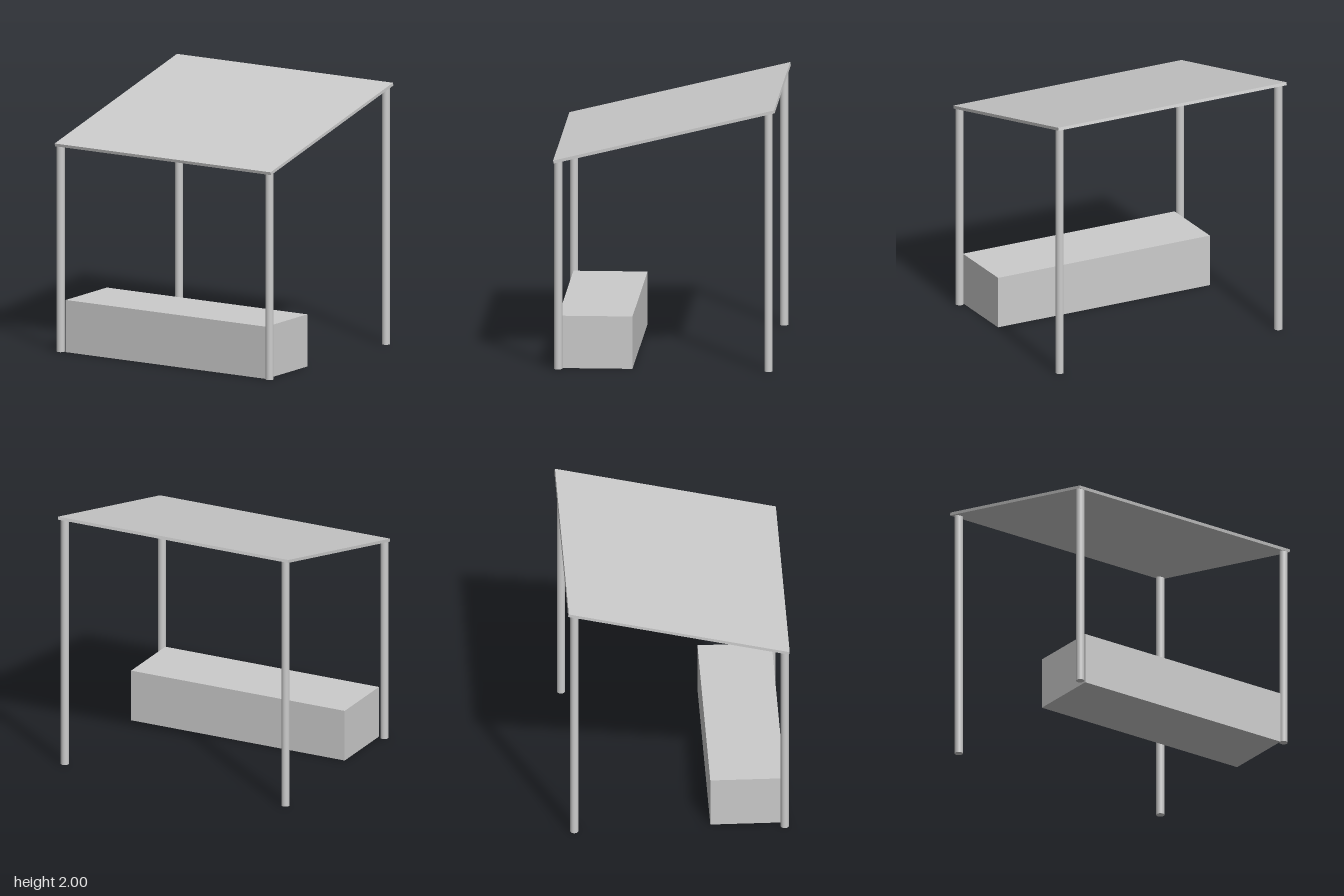
import * as THREE from 'three';

export function createModel() {
  const group = new THREE.Group();
  const material = new THREE.MeshStandardMaterial({ color: 0xcccccc });

  const add = (name, geometry, x, y, z) => {
    const mesh = new THREE.Mesh(geometry, material);
    mesh.name = name;
    mesh.position.set(x, y, z);
    group.add(mesh);
    return mesh;
  };

  // Four round posts: short pair in front, tall pair behind
  const posts = [
    ['frontRightPost', -0.944, 0.798, 1.585],
    ['frontLeftPost', 0.938, 0.798, 1.585],
    ['backRightPost', -0.928, -0.784, 1.972],
    ['backLeftPost', 0.938, -0.784, 1.972],
  ];
  for (const [name, x, z, height] of posts) {
    add(name, new THREE.CylinderGeometry(0.031, 0.031, height, 32), x, height / 2, z);
  }

  // Thin flat roof sloping down to the front
  const roof = add('roof', new THREE.BoxGeometry(1.947, 0.023, 1.709), -0.001, 1.787, 0.001);
  roof.rotation.x = Math.atan(0.2426);

  // Solid counter between the front posts
  add('counter', new THREE.BoxGeometry(1.807, 0.4, 0.558), 0.006, 0.2, 0.52);

  return group;
}
